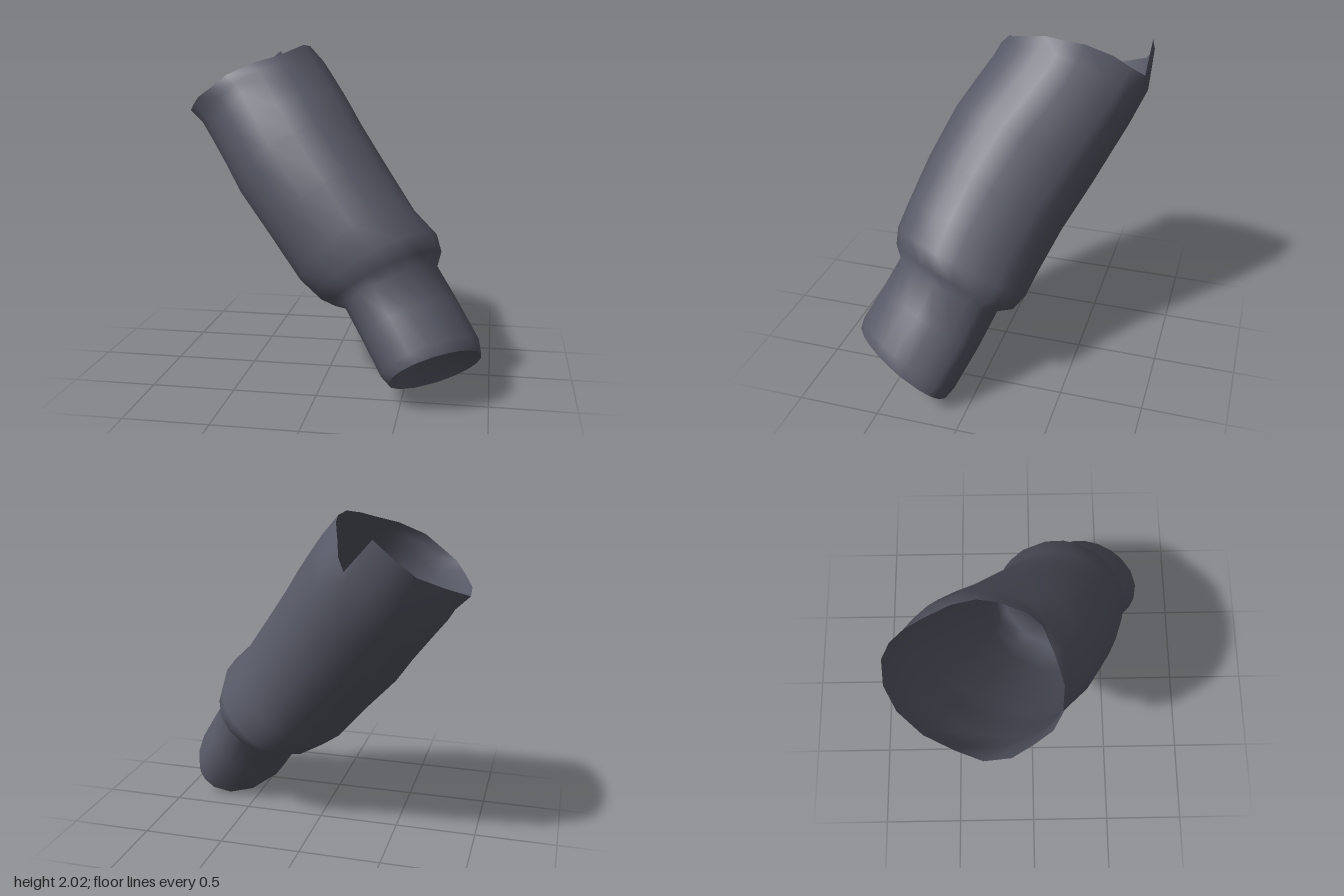
import * as THREE from 'three';

// Frame of the slanted sleeve: D runs from shoulder to wrist, U and V span the cross-section
const D = new THREE.Vector3(0.564, -0.752, 0.344).normalize();
const U = new THREE.Vector3(0.8, 0.6, 0);
const V = new THREE.Vector3().crossVectors(D, U).normalize();

// Ragged shoulder opening, in order around the axis, with one torn tooth
const RIM = [
  [-0.88, 1.62, -0.42], [-0.81, 1.68, -0.58], [-0.7, 1.75, -0.71], [-0.59, 1.85, -0.77],
  [-0.48, 1.945, -0.77], [-0.33, 1.77, -0.76], [-0.28, 1.83, -0.68], [-0.25, 1.9, -0.58],
  [-0.2, 1.97, -0.42], [-0.18, 1.99, -0.29], [-0.2, 2.0, -0.18], [-0.25, 1.97, -0.03],
  [-0.31, 1.94, 0.05], [-0.45, 1.9, 0.11], [-0.6, 1.83, 0.16], [-0.72, 1.74, 0.15],
  [-0.8, 1.69, 0.1], [-0.86, 1.64, 0], [-0.92, 1.59, -0.12], [-0.93, 1.57, -0.27],
].map((p) => new THREE.Vector3(...p));

// Angle around the axis of the column below each rim point
const ANGLES = [-170, -143, -114, -90, -72, -60, -51, -36, -14, 2, 17, 34, 48, 68, 90, 109, 122, 136, 153, 171]
  .map(THREE.MathUtils.degToRad);

// Cross-sections: distance along D, centre on U and V, radii on U and V, skew, tilt along U and V
const SECTIONS = [
  [-1.5, 0.632, 0.3, 0.425, 0.48, -0.03, 0, 0],
  [-1.3, 0.632, 0.315, 0.427, 0.485, 0, 0, 0],
  [-1.1, 0.625, 0.332, 0.43, 0.487, 0.04, 0, 0],
  [-0.75, 0.636, 0.338, 0.416, 0.467, 0.06, 0, 0],
  [-0.45, 0.64, 0.322, 0.408, 0.45, 0.07, 0, 0],
  [-0.28, 0.676, 0.296, 0.402, 0.444, 0.04, 0.02, 0],
  [-0.19, 0.685, 0.287, 0.355, 0.415, 0, 0.03, 0],
  [-0.13, 0.682, 0.3, 0.29, 0.35, -0.06, 0.03, 0],
  [0.1, 0.675, 0.303, 0.287, 0.359, -0.1, 0.02, -0.02],
  [0.35, 0.663, 0.315, 0.286, 0.362, -0.1, 0.03, -0.05],
  [0.42, 0.654, 0.32, 0.262, 0.347, -0.1, 0.035, -0.06],
];

// Closed end, set back into the wrist opening
const WRIST_END = [
  SECTIONS.at(-1),
  [0.35, 0.654, 0.32, 0.2, 0.26, -0.1, 0.03, -0.05],
  [0.3, 0.654, 0.32, 0.1, 0.13, -0.1, 0.015, -0.025],
  [0.29, 0.654, 0.32, 0, 0, 0, 0, 0],
];

function sectionPoint([s, u, v, a, b, skew, tiltU, tiltV], t) {
  return new THREE.Vector3()
    .addScaledVector(D, s + tiltU * Math.cos(t) + tiltV * Math.sin(t))
    .addScaledVector(U, u + a * Math.cos(t))
    .addScaledVector(V, v + b * Math.sin(t + skew));
}

const sectionRing = (section) => ANGLES.map((t) => sectionPoint(section, t));

// Join neighbouring rings into a smooth open surface
function loft(rings, material, name) {
  const n = ANGLES.length;
  const index = [];
  for (let i = 0; i < rings.length - 1; i++) {
    for (let j = 0; j < n; j++) {
      const k = (j + 1) % n;
      const a = i * n + j, b = i * n + k, c = a + n, d = b + n;
      index.push(a, b, c, b, d, c);
    }
  }
  const geometry = new THREE.BufferGeometry().setFromPoints(rings.flat());
  geometry.setIndex(index);
  geometry.computeVertexNormals();
  const mesh = new THREE.Mesh(geometry, material);
  mesh.name = name;
  return mesh;
}

export function createModel() {
  const cloth = new THREE.MeshStandardMaterial({ color: 0x585a67, side: THREE.DoubleSide });
  cloth.name = 'slate cloth';

  // Ring that follows the ragged rim halfway down to the first full section
  const [top, ...shape] = SECTIONS[0];
  const underRim = RIM.map((p, j) => sectionPoint([(p.dot(D) + top) / 2, ...shape], ANGLES[j]));

  const group = new THREE.Group();
  group.name = 'sleeve';
  group.add(
    loft([RIM, underRim, ...SECTIONS.map(sectionRing)], cloth, 'sleeveWithCuff'),
    loft(WRIST_END.map(sectionRing), cloth, 'wristEnd'),
  );
  return group;
}
